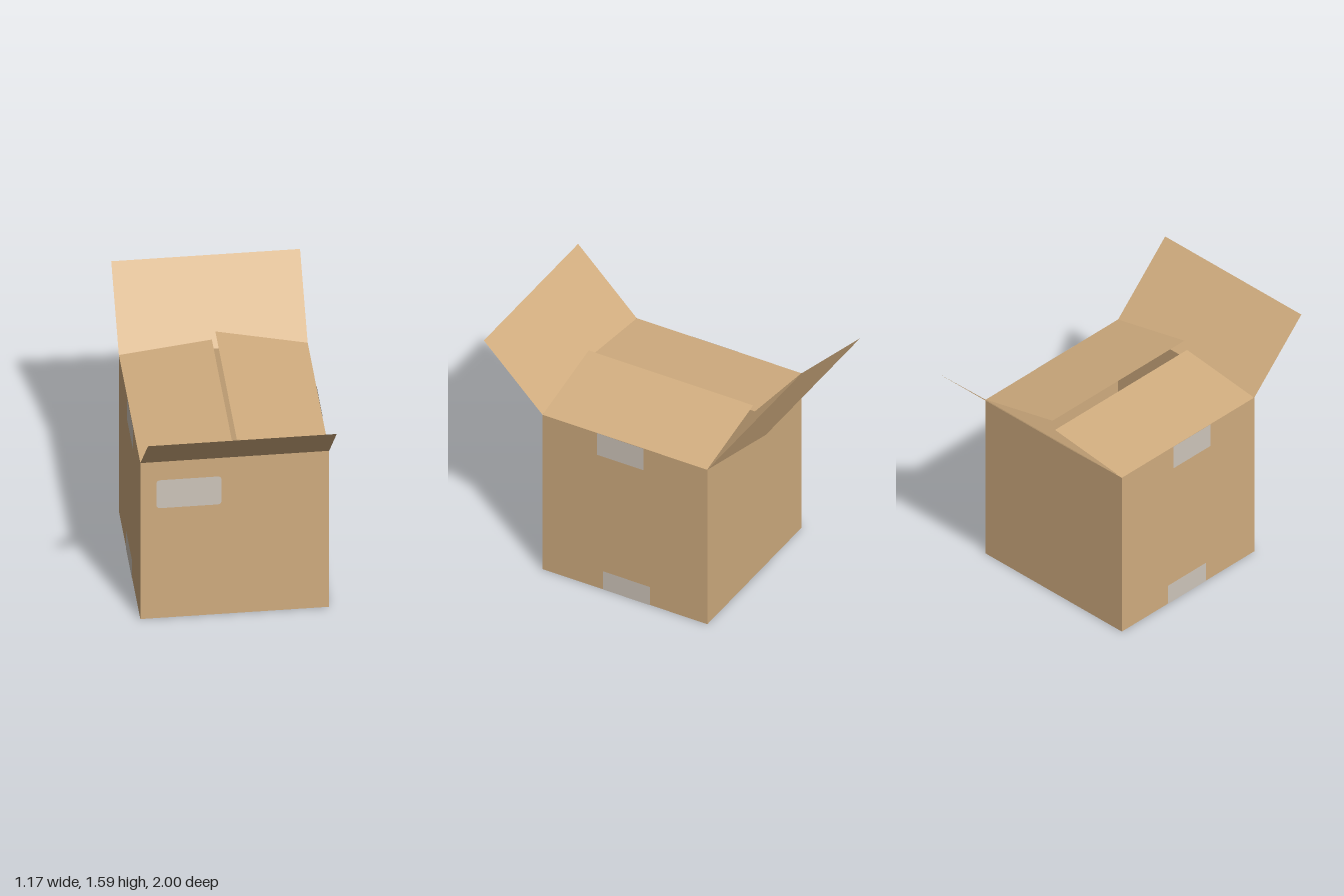
import * as THREE from 'three';

const H = 0.585;   // half width of the box
const TOP = 1.172; // hinge height of the flaps

export function createModel() {
  const model = new THREE.Group();
  model.name = 'openCardboardBox';

  const cardboard = new THREE.MeshStandardMaterial({ color: 0xd2ae80, side: THREE.DoubleSide });
  cardboard.name = 'cardboard';
  const tape = new THREE.MeshStandardMaterial({ color: 0xd0c7bc, side: THREE.DoubleSide });
  tape.name = 'paleTape';

  // Flat sheet through four corners, counter-clockwise seen from outside
  function sheet(name, corners, material = cardboard) {
    const geometry = new THREE.BufferGeometry();
    geometry.setAttribute('position', new THREE.Float32BufferAttribute(corners.flat(), 3));
    geometry.setIndex([0, 1, 2, 0, 2, 3]);
    geometry.computeVertexNormals();
    const mesh = new THREE.Mesh(geometry, material);
    mesh.name = name;
    model.add(mesh);
    return mesh;
  }

  // Sticker in the xy plane with separate radii for bottom and top corners
  function sticker(name, x0, x1, y0, y1, rBottom, rTop) {
    const s = new THREE.Shape();
    s.moveTo(x0 + rBottom, y0);
    s.lineTo(x1 - rBottom, y0);
    s.quadraticCurveTo(x1, y0, x1, y0 + rBottom);
    s.lineTo(x1, y1 - rTop);
    s.quadraticCurveTo(x1, y1, x1 - rTop, y1);
    s.lineTo(x0 + rTop, y1);
    s.quadraticCurveTo(x0, y1, x0, y1 - rTop);
    s.lineTo(x0, y0 + rBottom);
    s.quadraticCurveTo(x0, y0, x0 + rBottom, y0);
    const mesh = new THREE.Mesh(new THREE.ShapeGeometry(s, 6), tape);
    mesh.name = name;
    model.add(mesh);
    return mesh;
  }

  // Four walls
  sheet('frontWall', [[-H, 0, H], [H, 0, H], [H, TOP, H], [-H, TOP, H]]);
  sheet('backWall', [[H, 0, -H], [-H, 0, -H], [-H, TOP, -H], [H, TOP, -H]]);
  sheet('leftWall', [[H, 0, H], [H, 0, -H], [H, TOP, -H], [H, TOP, H]]);
  sheet('rightWall', [[-H, 0, -H], [-H, 0, H], [-H, TOP, H], [-H, TOP, -H]]);

  // Floor, with the tape strip along its underside
  const f = 0.002;
  sheet('floor', [[-H, f, -H], [H, f, -H], [H, f, H], [-H, f, H]]);
  sheet('bottomTape', [[-H, 0, -0.178], [H, 0, -0.178], [H, 0, 0.155], [-H, 0, 0.155]], tape);

  // Front and back flaps, opened outwards at 45 degrees
  const tipZ = 1, tipY = TOP + 0.415;
  sheet('frontFlap', [[-H, TOP, H], [H, TOP, H], [H, tipY, tipZ], [-H, tipY, tipZ]]);
  sheet('backFlap', [[H, TOP, -H], [-H, TOP, -H], [-H, tipY, -tipZ], [H, tipY, -tipZ]]);

  // Side flaps, folded in and left slightly raised
  const d = H - 0.002;
  sheet('leftFlap', [[H, TOP, d], [H, TOP, -d], [0.013, TOP + 0.13, -d], [0.013, TOP + 0.13, d]]);
  sheet('rightFlap', [[-H, TOP, -d], [-H, TOP, d], [-0.009, TOP + 0.071, d], [-0.009, TOP + 0.071, -d]]);

  // Label on the front wall
  sticker('frontLabel', -0.485, -0.083, 0.825, 1.035, 0.025, 0.025).position.z = H + 0.002;

  // Tape ends on both side walls
  for (const [side, name] of [[1, 'left'], [-1, 'right']]) {
    const ends = [
      sticker(name + 'UpperTape', -0.197 * side, 0.133 * side, 1.008, TOP, 0, 0),
      sticker(name + 'LowerTape', -0.155 * side, 0.18 * side, 0, 0.138, 0, 0),
    ];
    for (const end of ends) {
      end.rotation.y = side * Math.PI / 2;
      end.position.x = side * (H + 0.002);
    }
  }

  return model;
}
